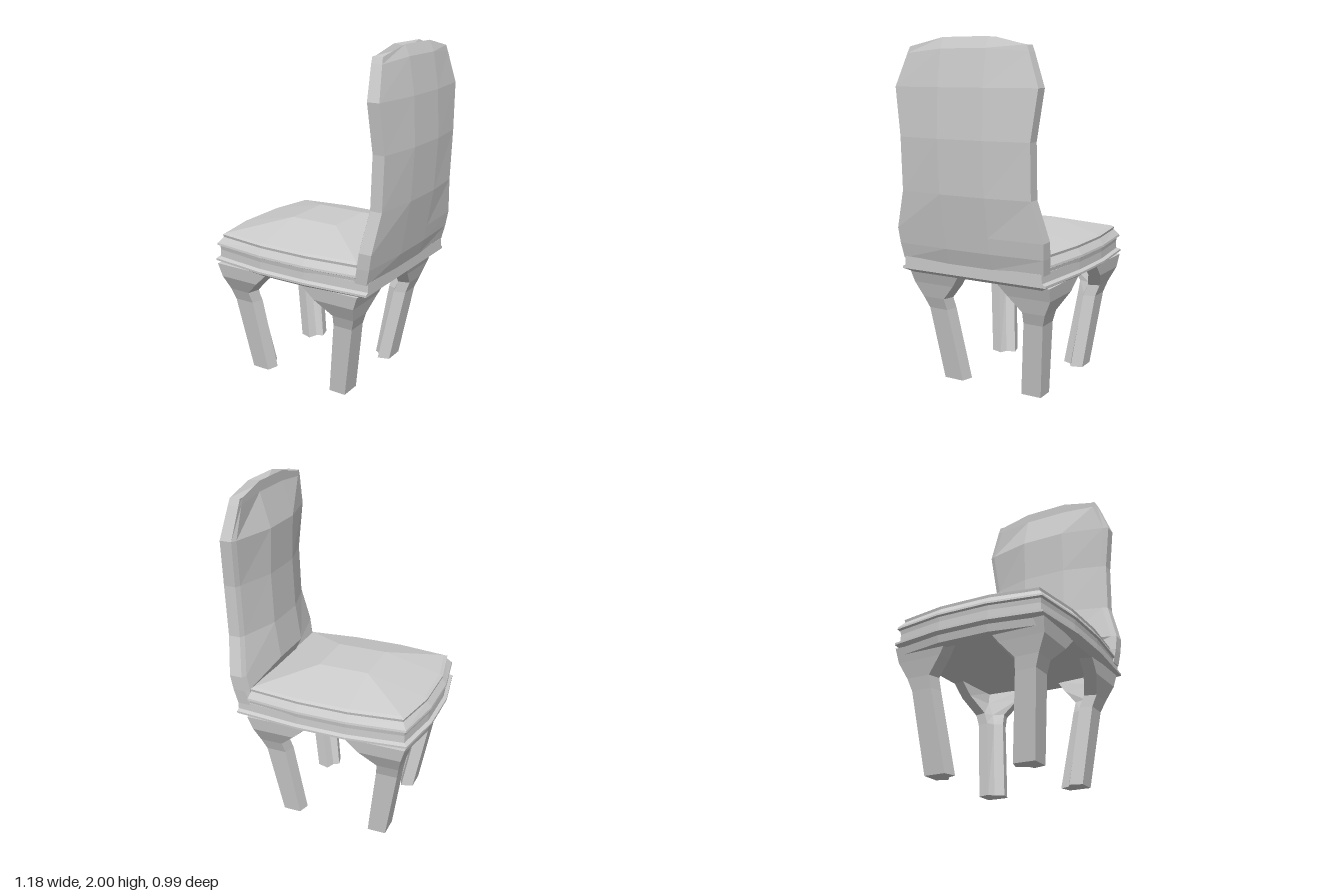
import * as THREE from 'three';

const material = new THREE.MeshStandardMaterial({ color: 0xcccccc, flatShading: true });

// Skins a stack of equal-length closed rings of [x, y, z] and caps both ends.
function loft(name, rings) {
  const tris = [];
  const n = rings[0].length;
  for (let r = 0; r < rings.length - 1; r++) {
    for (let i = 0; i < n; i++) {
      const j = (i + 1) % n;
      const a = rings[r][i], b = rings[r][j], c = rings[r + 1][j], d = rings[r + 1][i];
      tris.push([a, b, c], [a, c, d]);
    }
  }
  const cap = (ring, flip) => {
    const mid = [0, 1, 2].map(k => ring.reduce((sum, p) => sum + p[k], 0) / n);
    ring.forEach((p, i) => {
      const q = ring[(i + 1) % n];
      tris.push(flip ? [mid, q, p] : [mid, p, q]);
    });
  };
  cap(rings[0], true);
  cap(rings[rings.length - 1], false);

  // Turn the faces outward whatever the direction of the rings.
  const v = p => new THREE.Vector3(...p);
  const volume = tris.reduce((sum, [a, b, c]) => sum + v(a).dot(v(b).cross(v(c))), 0);
  if (volume < 0) tris.forEach(t => t.reverse());

  const geometry = new THREE.BufferGeometry();
  geometry.setAttribute('position', new THREE.Float32BufferAttribute(tris.flat(2), 3));
  geometry.computeVertexNormals();
  const mesh = new THREE.Mesh(geometry, material);
  mesh.name = name;
  return mesh;
}

// Bowed seat outline, inset by d, ending at x = back.
function seatRing(y, d, back) {
  const half = [
    [-0.595 + d, 0.15], [-0.545 + d, 0.455 - d], [-0.2, 0.495 - d],
    [0.1, 0.495 - d], [back, 0.462 - d], [back, 0.15],
  ];
  const other = half.map(([x, z]) => [x, -z]).reverse();
  return [...half, ...other].map(([x, z]) => [x, y, z]);
}

// L-shaped leg section: outer corner (xo, zo), arms reaching to xi and zi.
function legRing([y, xo, xi, zo, zi], side) {
  const s = Math.sign(xi - xo);
  return [
    [xo, zo], [xi - s * 0.02, zo], [xi, zo - 0.07],
    [xo + s * 0.09, zo - 0.09], [xo + s * 0.07, zi], [xo, zi + 0.02],
  ].map(([x, z]) => [x, y, z * side]);
}

// Backrest section: rim at the sides, pad bulging forward, shell bulging behind.
function backRing([y, w, rimFront, rimRear, padFront, shellRear, edgeY = y]) {
  const inner = w - 0.03, lip = Math.min(0.015, rimFront - padFront);
  return [
    [rimFront, edgeY, -w], [rimFront - lip, edgeY, -inner],
    [padFront, y, -0.14], [padFront, y, 0.14],
    [rimFront - lip, edgeY, inner], [rimFront, edgeY, w],
    [rimRear, edgeY, w], [shellRear, y, 0.14],
    [shellRear, y, -0.14], [rimRear, edgeY, -w],
  ];
}

export function createModel() {
  const chair = new THREE.Group();
  chair.name = 'chair';

  // Seat frame with a flared lower rim
  chair.add(loft('seatFrame', [
    [0.68, 0.045, 0.44], [0.708, 0, 0.49], [0.72, 0, 0.49],
    [0.73, 0.02, 0.49], [0.78, 0.022, 0.49],
  ].map(a => seatRing(...a))));

  // Cushion: piping, stepped edge and faceted dome
  const cushion = [
    [0.77, 0.022, 0.42], [0.797, 0.018, 0.42], [0.803, 0.006, 0.42], [0.815, 0.008, 0.42],
    [0.85, 0.035, 0.41], [0.865, 0.032, 0.41], [0.875, 0.05, 0.4],
  ].map(a => seatRing(...a));
  cushion.push(seatRing(0.955, 0, 0).map(([x, y, z], i) => {
    const nearFront = i < 3 || i > 8;
    return [nearFront ? -0.2 : 0.1, y, 0.15 * Math.sign(z)];
  }));
  chair.add(loft('seatCushion', cushion));

  // Legs: y, outer x, inner x, outer z, inner z
  const zs = [[0.325, 0.18], [0.375, 0.235], [0.4, 0.24], [0.445, 0.16], [0.455, 0.1]];
  const ys = [0, 0.45, 0.52, 0.61, 0.69];
  const legs = {
    frontLeg: [[-0.39, -0.26], [-0.47, -0.325], [-0.485, -0.335], [-0.51, -0.24], [-0.535, -0.155]],
    backLeg: [[0.275, 0.15], [0.35, 0.21], [0.375, 0.22], [0.4, 0.125], [0.43, 0.04]],
  };
  for (const [name, xs] of Object.entries(legs)) {
    for (const side of [1, -1]) {
      const rings = ys.map((y, i) => legRing([y, ...xs[i], ...zs[i]], side));
      chair.add(loft(name + (side > 0 ? 'Left' : 'Right'), rings));
    }
  }

  // Bowed rail joining the front legs
  chair.add(loft('frontRail', [[-0.42, -0.52], [-0.15, -0.57], [0.15, -0.57], [0.42, -0.52]].map(
    ([z, x]) => [[x, 0.65, z], [x + 0.07, 0.65, z], [x + 0.07, 0.69, z], [x - 0.01, 0.69, z]])));

  // Backrest
  chair.add(loft('backrest', [
    [0.77, 0.45, 0.41, 0.485, 0.41, 0.49],
    [0.86, 0.46, 0.43, 0.505, 0.4, 0.52],
    [0.95, 0.465, 0.445, 0.52, 0.357, 0.535],
    [1.17, 0.405, 0.475, 0.545, 0.39, 0.572],
    [1.47, 0.405, 0.485, 0.555, 0.402, 0.588],
    [1.74, 0.442, 0.47, 0.54, 0.39, 0.575],
    [1.94, 0.375, 0.452, 0.515, 0.45, 0.542, 1.92],
    [2, 0.36, 0.45, 0.51, 0.45, 0.515, 1.955],
  ].map(backRing)));

  return chair;
}
